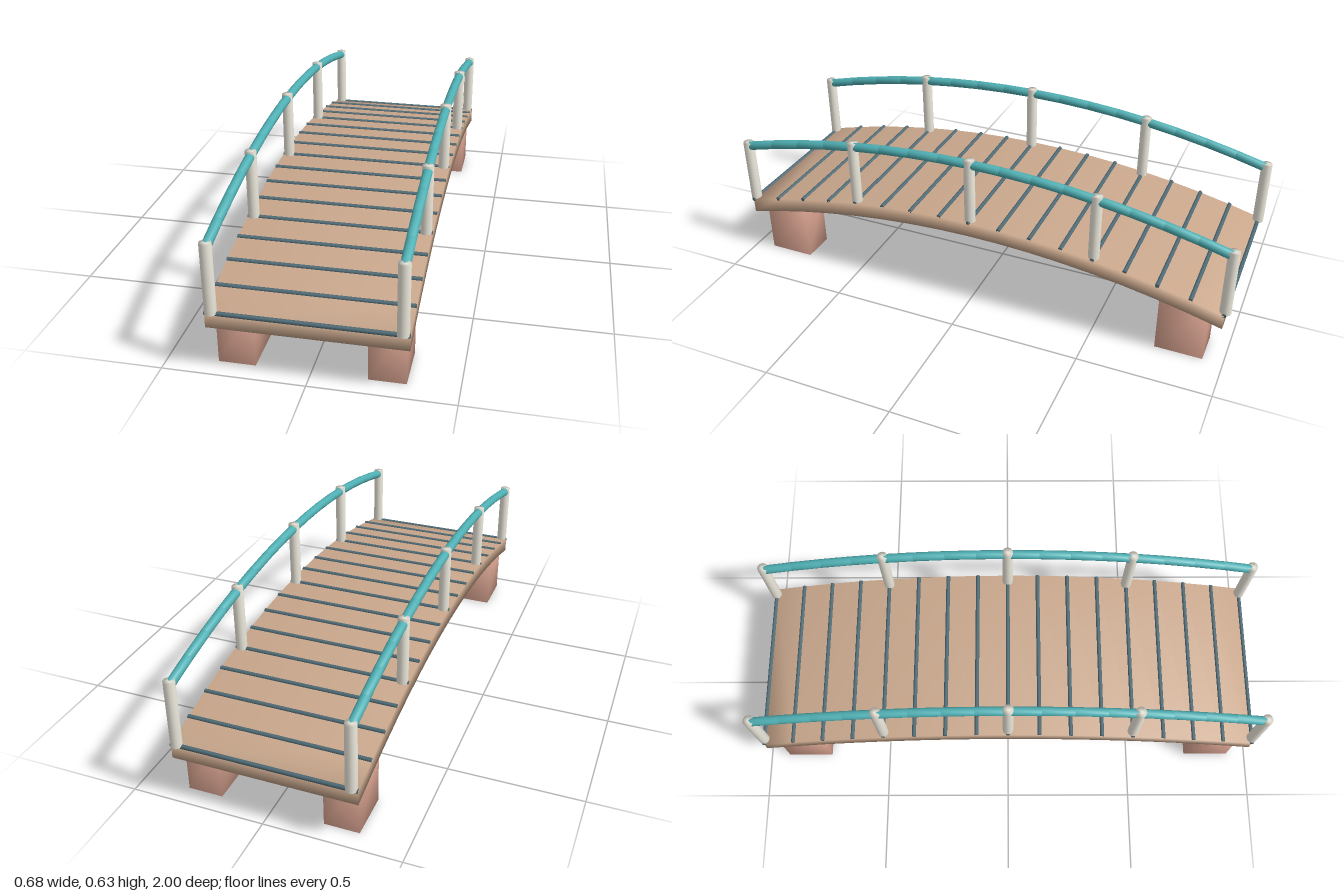
import * as THREE from 'three';
import { mergeVertices } from 'three/addons/utils/BufferGeometryUtils.js';

const HALF_LENGTH = 0.98, STEPS = 16;
const paint = (color) => new THREE.MeshStandardMaterial({ color });
const wood = paint(0xc9a78c), stone = paint(0xdea794), white = paint(0xeeeade);
const teal = paint(0x4fb0b4), slate = paint(0x4f6b76);

// Height of the deck's upper surface along its length
const deckTop = (z) => 0.23 + 0.135 * (1 - (z / HALF_LENGTH) ** 2);
const stepZ = (i) => -HALF_LENGTH + (2 * HALF_LENGTH * i) / STEPS;

// Shares corners so that shading rolls softly over every edge
function soften(geometry) {
  geometry.deleteAttribute('normal');
  geometry.deleteAttribute('uv');
  const merged = mergeVertices(geometry, 1e-4);
  merged.computeVertexNormals();
  return merged;
}

export function createModel() {
  const model = new THREE.Group();
  model.name = 'archedFootbridge';

  function add(name, geometry, material, x = 0, y = 0, z = 0, parent = model) {
    const mesh = new THREE.Mesh(geometry, material);
    mesh.name = name;
    mesh.position.set(x, y, z);
    parent.add(mesh);
    return mesh;
  }

  // Deck: a long slab bent into an arch
  const deck = new THREE.BoxGeometry(0.68, 0.058, 2 * HALF_LENGTH, 1, 1, STEPS);
  const p = deck.attributes.position;
  for (let i = 0; i < p.count; i++) p.setY(i, p.getY(i) - 0.029 + deckTop(p.getZ(i)));
  add('deck', soften(deck), wood);

  // Thin slats across the deck
  const slats = new THREE.Group();
  slats.name = 'slats';
  model.add(slats);
  const slat = new THREE.CylinderGeometry(0.008, 0.008, 0.68, 8).rotateZ(Math.PI / 2);
  for (let i = 0; i <= STEPS; i++) {
    add('slat', slat, slate, 0, deckTop(stepZ(i)), stepZ(i), slats);
  }

  const postShape = soften(new THREE.CylinderGeometry(0.021, 0.021, 0.262, 16));
  const legShape = soften(new THREE.BoxGeometry(0.13, 0.228, 0.18));
  const up = new THREE.Vector3(0, 1, 0);

  for (const side of [1, -1]) {
    const railing = new THREE.Group();
    railing.name = side > 0 ? 'leftRailing' : 'rightRailing';
    model.add(railing);
    const x = side * 0.317;

    // Five upright posts
    for (let i = 0; i <= STEPS; i += 4) {
      add('post', postShape, white, x, deckTop(stepZ(i)) + 0.131, stepZ(i), railing);
    }

    // Handrail of short straight lengths following the arch
    for (let i = 0; i < STEPS; i++) {
      const a = new THREE.Vector3(x, deckTop(stepZ(i)) + 0.244, stepZ(i));
      const b = new THREE.Vector3(x, deckTop(stepZ(i + 1)) + 0.244, stepZ(i + 1));
      const along = b.clone().sub(a);
      const length = soften(new THREE.CylinderGeometry(0.0175, 0.0175, along.length(), 12));
      const mid = a.add(b).multiplyScalar(0.5);
      const piece = add('handrailPiece', length, teal, mid.x, mid.y, mid.z, railing);
      piece.quaternion.setFromUnitVectors(up, along.normalize());
    }

    // Support blocks under both ends
    for (const end of [1, -1]) {
      add('supportBlock', legShape, stone, side * 0.258, 0.114, end * 0.835);
    }
  }
  return model;
}
